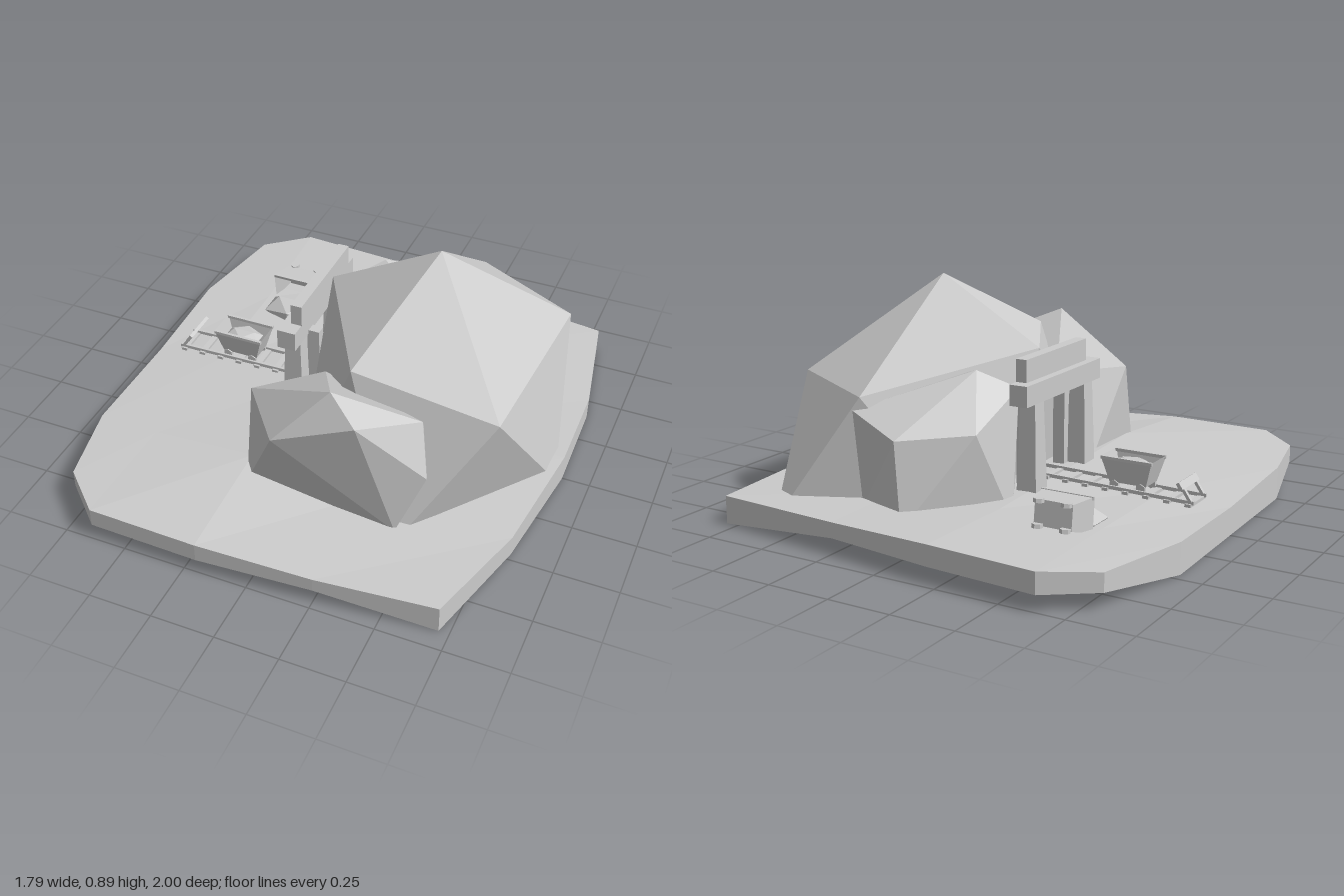
import * as THREE from 'three';

const grey = new THREE.MeshStandardMaterial({ color: 0xcccccc, flatShading: true });
const thin = new THREE.MeshStandardMaterial({ color: 0xcccccc, flatShading: true, side: THREE.DoubleSide });

function add(parent, name, geometry, position = [0, 0, 0], material = grey) {
  const mesh = new THREE.Mesh(geometry, material);
  mesh.name = name;
  mesh.position.set(...position);
  parent.add(mesh);
  return mesh;
}

const box = (parent, name, size, position) => add(parent, name, new THREE.BoxGeometry(...size), position);

// Slab: a subdivided box whose corners follow a 5 x 5 grid of [x, top height, z]
function groundGeometry() {
  const rows = [
    [[-0.82, 0.13, -0.87], [-0.64, 0.14, -1], [-0.2, 0.14, -0.97], [0.25, 0.12, -0.91], [0.8, 0.11, -0.85]],
    [[-0.9, 0.12, -0.46], [-0.62, 0.13, -0.5], [-0.2, 0.13, -0.5], [0.27, 0.11, -0.48], [0.88, 0.09, -0.4]],
    [[-0.89, 0.11, 0], [-0.62, 0.13, 0], [-0.2, 0.15, 0], [0.3, 0.12, 0], [0.89, 0.11, 0]],
    [[-0.88, 0.13, 0.5], [-0.62, 0.145, 0.52], [-0.2, 0.172, 0.52], [0.27, 0.115, 0.5], [0.83, 0.085, 0.47]],
    [[-0.81, 0.13, 0.83], [-0.64, 0.135, 0.99], [-0.2, 0.135, 1], [0.25, 0.115, 0.97], [0.71, 0.11, 0.92]],
  ];
  const geometry = new THREE.BoxGeometry(1, 1, 1, 4, 1, 4);
  const p = geometry.attributes.position;
  for (let k = 0; k < p.count; k++) {
    const i = Math.round((p.getX(k) + 0.5) * 4);
    const j = Math.round((p.getZ(k) + 0.5) * 4);
    const [x, top, z] = rows[j][i];
    const bottom = j % 4 === 0 && i < 4 ? 0.06 : 0;
    p.setXYZ(k, x, p.getY(k) > 0 ? top : bottom, z);
  }
  geometry.computeVertexNormals();
  return geometry;
}

// Boulder: twenty faces between a peak, two staggered rings of five and a base point
function rockGeometry(peak, upper, lower, base) {
  const points = [];
  for (let i = 0; i < 5; i++) {
    const n = (i + 1) % 5;
    points.push(peak, upper[i], upper[n], upper[i], lower[i], upper[n]);
    points.push(lower[i], lower[n], upper[n], base, lower[n], lower[i]);
  }
  const geometry = new THREE.BufferGeometry();
  geometry.setAttribute('position', new THREE.Float32BufferAttribute(points.flat(), 3));
  geometry.computeVertexNormals();
  return geometry;
}

// Open tapered tub on four wheels, standing on y = 0
function createCart(name) {
  const cart = new THREE.Group();
  cart.name = name;
  const tub = new THREE.CylinderGeometry(Math.SQRT1_2, Math.SQRT1_2 * 0.72, 0.1, 4, 1, true);
  tub.rotateY(Math.PI / 4).scale(0.21, 1, 0.13);
  add(cart, 'tub', tub, [0, 0.08, 0], thin);
  box(cart, 'tubFloor', [0.15, 0.01, 0.094], [0, 0.035, 0]);
  for (const side of [-1, 1]) {
    box(cart, 'rim', [0.21, 0.012, 0.012], [0, 0.125, side * 0.06]);
    for (const end of [-1, 1]) {
      const wheel = new THREE.CylinderGeometry(0.02, 0.02, 0.015, 6).rotateX(Math.PI / 2);
      add(cart, 'wheel', wheel, [end * 0.055, 0.02, side * 0.045]);
    }
  }
  return cart;
}

export function createModel() {
  const model = new THREE.Group();
  model.name = 'mine';

  add(model, 'ground', groundGeometry());

  // Mountain and its two flanking boulders
  add(model, 'mountain', rockGeometry(
    [0.33, 0.89, -0.06],
    [[0.77, 0.51, -0.38], [0.34, 0.5, -0.61], [-0.12, 0.64, -0.08], [0.17, 0.63, 0.43], [0.73, 0.53, 0.4]],
    [[0.65, 0.01, -0.75], [-0.02, 0.01, -0.45], [-0.06, 0.01, 0.42], [0.41, 0.01, 0.61], [0.87, 0.01, 0.03]],
    [0.4, 0.01, 0]));
  add(model, 'frontBoulder', rockGeometry(
    [0.165, 0.66, 0.6],
    [[0.47, 0.53, 0.48], [0, 0.46, 0.27], [-0.21, 0.47, 0.48], [-0.03, 0.45, 0.7], [0.29, 0.59, 0.68]],
    [[0.4, 0.1, 0.2], [-0.17, 0.1, 0.25], [-0.2, 0.09, 0.57], [0.42, 0.09, 0.61], [0.52, 0.34, 0.56]],
    [0.15, 0.06, 0.4]));
  add(model, 'backBoulder', rockGeometry(
    [0, 0.59, -0.34],
    [[0.37, 0.45, -0.62], [0.13, 0.38, -0.69], [-0.1, 0.39, -0.5], [-0.13, 0.52, -0.25], [0.25, 0.5, -0.15]],
    [[0.36, 0.05, -0.6], [0.1, 0.05, -0.7], [-0.18, 0.05, -0.38], [-0.05, 0.05, -0.15], [0.35, 0.05, -0.3]],
    [0.1, 0.04, -0.4]));

  // Timber entrance: splayed posts, lintel and cap beam
  const portal = new THREE.Group();
  portal.name = 'entrance';
  model.add(portal);
  for (const side of [-1, 1]) {
    const post = new THREE.CylinderGeometry(0.045, 0.06, 0.37, 4).rotateY(Math.PI / 4);
    add(portal, 'post', post, [-0.19, 0.305, -0.065 + side * 0.19]);
    box(portal, 'innerPost', [0.05, 0.36, 0.04], [-0.13, 0.31, -0.065 + side * 0.14]);
  }
  box(portal, 'lintel', [0.075, 0.08, 0.57], [-0.187, 0.515, -0.065]);
  box(portal, 'capBeam', [0.045, 0.09, 0.46], [-0.17, 0.597, -0.07]);

  // Track with sleepers and a slanted buffer at its end
  const track = new THREE.Group();
  track.name = 'track';
  model.add(track);
  for (const z of [-0.13, -0.02]) {
    box(track, 'rail', [0.68, 0.014, 0.012], [-0.46, 0.153, z]).rotation.z = 0.02;
    box(track, 'bufferPost', [0.012, 0.09, 0.014], [-0.765, 0.18, z]).rotation.z = -0.6;
  }
  for (let i = 0; i < 8; i++) {
    box(track, 'sleeper', [0.025, 0.012, 0.14], [-0.78 + i * 0.085, 0.137 + i * 0.002, -0.075]);
  }
  box(track, 'bufferBeam', [0.014, 0.03, 0.15], [-0.748, 0.205, -0.075]).rotation.z = -0.6;

  // Loaded cart on the rails
  const cart = createCart('cart');
  cart.position.set(-0.525, 0.142, -0.075);
  const load = new THREE.IcosahedronGeometry(1, 0).scale(0.085, 0.03, 0.055);
  add(cart, 'oreLoad', load, [0, 0.095, 0]);
  model.add(cart);

  // Tipped cart lying on its side with spilled ore
  const tipped = createCart('tippedCart');
  tipped.position.set(-0.49, 0.195, -0.65);
  tipped.rotation.x = Math.PI / 2 + 0.12;
  model.add(tipped);
  const spill = new THREE.IcosahedronGeometry(1, 0).scale(0.14, 0.06, 0.1);
  add(model, 'spilledOre', spill, [-0.47, 0.135, -0.45]);

  return model;
}
